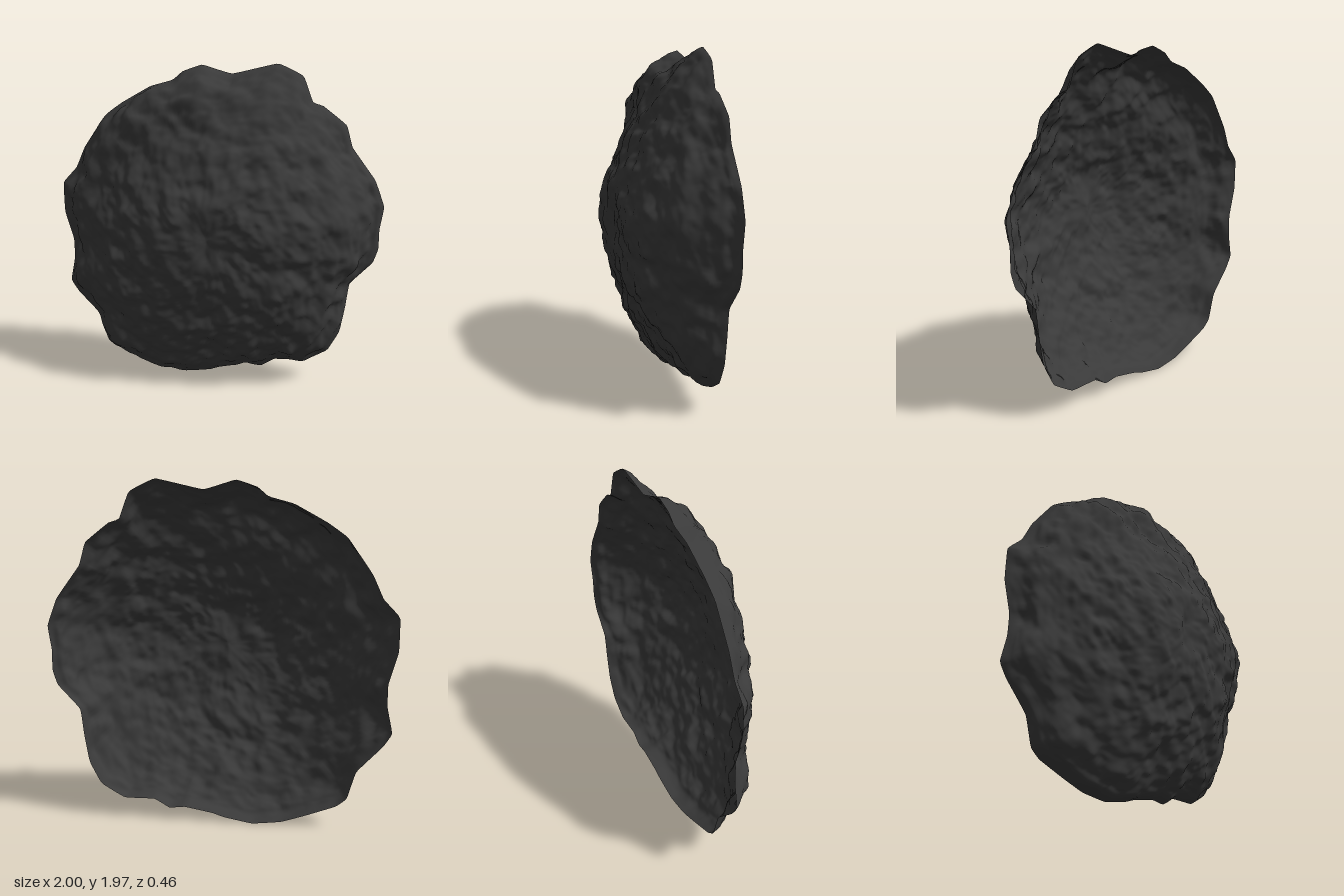
import * as THREE from 'three';

const RINGS = 100, SEGS = 270, BACK = -0.23;

// Rim outline (x, y), clockwise seen from the front
const RIM = [
  [1, 1.14], [0.98, 1.0], [0.98, 0.88], [0.95, 0.79], [0.82, 0.65], [0.80, 0.50], [0.77, 0.33],
  [0.70, 0.20], [0.56, 0.12], [0.38, 0.12], [0.29, 0.07], [0.20, 0.08], [0.03, 0.05], [-0.03, 0.03],
  [-0.20, 0], [-0.37, 0.02], [-0.52, 0.07], [-0.68, 0.13], [-0.74, 0.18], [-0.79, 0.34],
  [-0.93, 0.49], [-0.98, 0.57], [-0.95, 0.72], [-0.95, 0.85], [-1, 1.03], [-1, 1.22], [-0.91, 1.32],
  [-0.85, 1.45], [-0.71, 1.65], [-0.60, 1.73], [-0.42, 1.83], [-0.28, 1.87], [-0.22, 1.92],
  [-0.10, 1.96], [0.08, 1.91], [0.35, 1.97], [0.50, 1.90], [0.56, 1.75], [0.62, 1.73],
  [0.76, 1.62], [0.80, 1.49], [0.94, 1.30],
];

// Dome sections: z at each fraction of the rim radius, by angle from +x towards +y
const STATIONS = [0, 0.2, 0.35, 0.5, 0.6, 0.7, 0.8, 0.88, 0.94, 0.98, 1];
const SECTIONS = [
  [0, [0.2, 0.2, 0.185, 0.14, 0.11, 0.06, 0, -0.1, -0.19, -0.215, BACK]],
  [60, [0.2, 0.19, 0.16, 0.11, 0.065, 0.02, -0.04, -0.1, -0.16, -0.2, BACK]],
  [110, [0.2, 0.195, 0.16, 0.105, 0.055, 0.015, 0, -0.02, -0.08, -0.15, BACK]],
  [180, [0.2, 0.215, 0.185, 0.125, 0.065, 0.005, -0.07, -0.11, -0.18, -0.215, BACK]],
  [265, [0.2, 0.2, 0.17, 0.115, 0.085, 0.04, -0.02, -0.06, -0.11, -0.15, BACK]],
  [322, [0.2, 0.2, 0.175, 0.13, 0.095, 0.05, -0.01, -0.07, -0.15, -0.2, BACK]],
].map(([angle, zs]) => ({
  angle, curve: new THREE.SplineCurve(zs.map((z, i) => new THREE.Vector2(STATIONS[i], z))),
}));

// Blend the two sections on either side of a direction
function sectionHeight(heights, angle) {
  const n = SECTIONS.length;
  const i = SECTIONS.findLastIndex((s) => s.angle <= angle);
  const end = i + 1 < n ? SECTIONS[i + 1].angle : 360;
  const w = THREE.MathUtils.smoothstep(angle, SECTIONS[i].angle, end);
  return THREE.MathUtils.lerp(heights[i], heights[(i + 1) % n], w);
}

// Smooth value noise in -1..1
function hash(x, y, z) {
  let h = Math.imul(x, 374761393) ^ Math.imul(y, 668265263) ^ Math.imul(z, 1274126177);
  h = Math.imul(h ^ (h >>> 13), 1103515245);
  h = Math.imul(h ^ (h >>> 15), 2246822519);
  return ((h ^ (h >>> 16)) >>> 0) / 2147483648 - 1;
}
function noise(x, y, z) {
  const c = [x, y, z].map(Math.floor);
  const [u, v, w] = [x - c[0], y - c[1], z - c[2]].map((f) => f * f * (3 - 2 * f));
  const mix = THREE.MathUtils.lerp;
  const row = (j, k) => mix(hash(c[0], c[1] + j, c[2] + k), hash(c[0] + 1, c[1] + j, c[2] + k), u);
  return mix(mix(row(0, 0), row(1, 0), v), mix(row(0, 1), row(1, 1), v), w);
}
function roughness(p) {
  let sum = 0;
  for (const [freq, amp] of [[4.5, 0.01], [10, 0.02], [17, 0.014], [32, 0.006]]) {
    sum += amp * noise(p.x * freq + 11, p.y * freq + 5, p.z * freq + 7);
  }
  return sum;
}

// Rim points around the origin, and a rounded copy that shapes the inner rings
function rimLoops() {
  const curve = new THREE.CatmullRomCurve3(
    RIM.map(([x, y]) => new THREE.Vector3(x, y - 1, 0)), true, 'catmullrom', 0.12);
  const sharp = curve.getSpacedPoints(SEGS).slice(0, SEGS);
  const reach = 16;
  const round = sharp.map((_, j) => {
    const sum = new THREE.Vector3();
    for (let k = -reach; k <= reach; k++) sum.add(sharp[(j + k + SEGS) % SEGS]);
    return sum.divideScalar(2 * reach + 1);
  });
  return { sharp, round };
}

function domeGeometry() {
  const { sharp, round } = rimLoops();
  const positions = [], index = [];
  const p = new THREE.Vector3(), out = new THREE.Vector3();

  // Shrink the rim towards the middle ring by ring, then push the rock relief outwards
  for (let i = 0; i <= RINGS; i++) {
    const points = SECTIONS.map((s) => s.curve.getPoint(i / RINGS));
    const heights = points.map((q) => q.y);
    const t = points[0].x;
    const rimWeight = THREE.MathUtils.smoothstep(t, 0.6, 1);
    const fade = THREE.MathUtils.clamp((1 - t) / 0.04, 0, 1);
    for (let j = 0; j < SEGS; j++) {
      p.lerpVectors(round[j], sharp[j], rimWeight);
      const angle = (THREE.MathUtils.radToDeg(Math.atan2(p.y, p.x)) + 360) % 360;
      const z = sectionHeight(heights, angle);
      p.multiplyScalar(t).setZ(z);
      out.set(p.x * 0.6, p.y * 0.6, z + 0.55).normalize();
      p.addScaledVector(out, roughness(p) * fade);
      positions.push(p.x, p.y + 1, Math.max(p.z, BACK));
    }
  }
  for (let i = 0; i < RINGS; i++) {
    for (let j = 0; j < SEGS; j++) {
      const k = (j + 1) % SEGS;
      const a = i * SEGS + j, b = i * SEGS + k, c = a + SEGS, d = b + SEGS;
      if (i > 0) index.push(a, b, d);
      index.push(a, d, c);
    }
  }
  // All points of the first ring meet at the middle: use one shared vertex
  const geometry = new THREE.BufferGeometry();
  geometry.setAttribute('position', new THREE.Float32BufferAttribute(positions, 3));
  geometry.setIndex(index.map((n) => (n < SEGS ? 0 : n)));
  geometry.computeVertexNormals();
  return geometry;
}

export function createModel() {
  const group = new THREE.Group();
  group.name = 'rock';
  // Open-backed rock shell
  const shell = new THREE.Mesh(domeGeometry(),
    new THREE.MeshStandardMaterial({ color: 0x3a3a3a, side: THREE.DoubleSide }));
  shell.name = 'rockShell';
  group.add(shell);
  return group;
}
